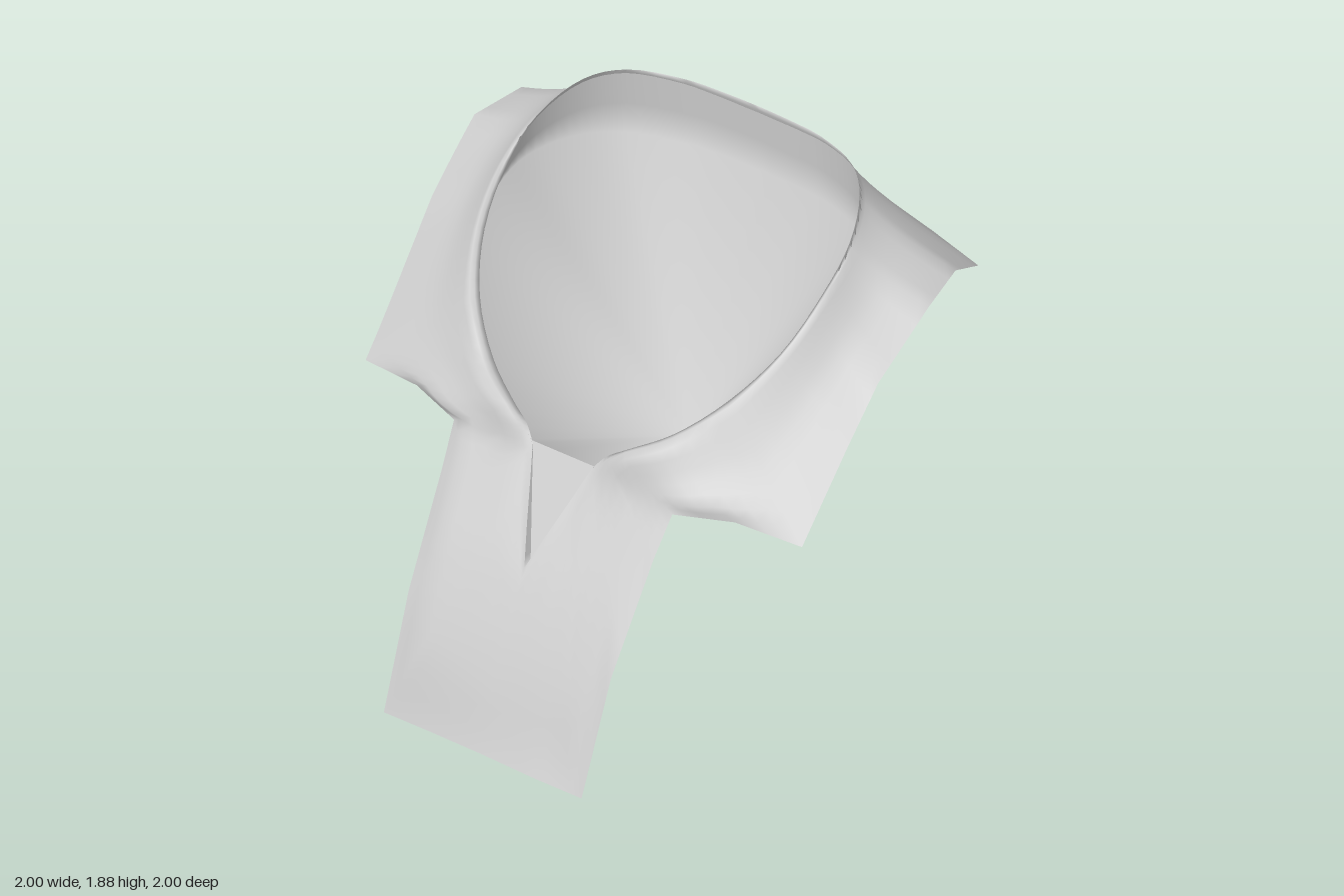
import * as THREE from 'three';
import { mergeVertices } from 'three/addons/utils/BufferGeometryUtils.js';

const V = (a) => new THREE.Vector3(...a);
const { lerp, smoothstep } = THREE.MathUtils;

// Matching points of the neck rim and the outer hem, front centre to back centre
const RIM = [[0, .675, .695], [.05, .81, .61], [.095, .93, .53], [.135, 1.04, .46], [.18, 1.095, .435],
  [.25, 1.14, .41], [.4, 1.225, .33], [.55, 1.36, .2], [.655, 1.51, .02], [.695, 1.67, -.19],
  [.685, 1.78, -.37], [.61, 1.86, -.54], [.5, 1.88, -.65], [.3, 1.865, -.74], [.15, 1.855, -.765], [0, 1.85, -.775]].map(V);
const HEM = [[0, .02, .985], [.25, .02, .995], [.455, .01, .985], [.465, .45, .815], [.485, .85, .575],
  [.5, 1, .48], [.72, 1.01, .4], [.98, .98, .35], [.985, 1.27, .06], [.985, 1.43, -.12],
  [1, 1.6, -.42], [.955, 1.6, -.65], [.88, 1.435, -.9], [.63, 1.44, -.97], [.42, 1.46, -.99], [0, 1.465, -1]].map(V);
const APEX = V([0, .63, -.34]);
const STEPS = 4;

// Depth of the chest cloth at a given height
const CHEST = [[0, .99], [.23, .91], [.42, .83], [.65, .71], [1, .49], [1.1, .46], [1.2, .41], [1.28, .33]];
function chestZ(y) {
  let i = 0;
  while (i < CHEST.length - 2 && y > CHEST[i + 1][0]) i++;
  const [a, b] = [CHEST[i], CHEST[i + 1]];
  return lerp(a[1], b[1], (y - a[0]) / (b[0] - a[0]));
}

// The right half hangs slightly shorter than the left
function flipColumn({ k, rim, hem }) {
  const w = Math.min(k, 1) * (1 - smoothstep(k, 7, 10));
  return {
    k,
    rim: V([-rim.x + .008 * Math.min(k / 3, 1), rim.y, rim.z]),
    hem: V([-hem.x + .025 * w, hem.y - .008 * w, hem.z - .022 * w]),
  };
}

// Closed columns around the neck: one half, then its mirror
function makeColumns() {
  const curve = new THREE.CatmullRomCurve3(RIM.slice(3), false, 'centripetal');
  const half = [];
  for (let s = 0; s <= (RIM.length - 1) * STEPS; s++) {
    const k = s / STEPS;
    const i = Math.min(Math.floor(k), RIM.length - 2);
    const rim = k < 3 ? RIM[i].clone().lerp(RIM[i + 1], k - i) : curve.getPoint((k - 3) / (RIM.length - 4));
    half.push({ k, rim, hem: HEM[i].clone().lerp(HEM[i + 1], k - i) });
  }
  return [...half, ...half.slice(1, -1).reverse().map(flipColumn)];
}

// Loft through rows of points
function loft(rows, closed) {
  const n = rows[0].length;
  const index = [];
  for (let r = 0; r < rows.length - 1; r++) {
    for (let c = 0; c < (closed ? n : n - 1); c++) {
      const a = r * n + c, b = r * n + (c + 1) % n;
      index.push(a, a + n, b, b, a + n, b + n);
    }
  }
  const g = new THREE.BufferGeometry().setFromPoints(rows.flat());
  g.setIndex(index);
  const merged = mergeVertices(g);
  merged.computeVertexNormals();
  return merged;
}

// Rim point pushed outward and down, under the rolled edge
function underRim({ k, rim }, out, down) {
  const w = smoothstep(k, 2.5, 6);
  const dir = V([rim.x, 0, rim.z + .15]).setLength(out * w);
  return rim.clone().add(dir).setY(rim.y - down * w);
}

// Point on the cloth between rim (t = 0) and hem (t = 1)
function clothPoint({ k, rim, hem }, t) {
  const p = rim.clone().lerp(hem, t);
  const shape = Math.min(t * 8, 1) * Math.min((1 - t) * 4, 1);
  const front = 1 - smoothstep(k, 5, 7);
  p.z = lerp(p.z, chestZ(p.y), front * shape);
  // rolled collar edge
  const roll = smoothstep(k, 3, 5.5) * (1 - smoothstep(k, 8.5, 11)) * Math.max(0, Math.min(t / .06, 1 - (t - .06) / .35));
  p.y += .028 * roll;
  p.z += .022 * roll;
  // shoulders and back dip away beneath the collar
  p.y -= .035 * smoothstep(k, 7.5, 10) * Math.sin(Math.PI * Math.pow(t, .6));
  return p;
}

export function createModel() {
  const group = new THREE.Group();
  const cloth = new THREE.MeshStandardMaterial({ color: 0xcccccc, side: THREE.DoubleSide });
  cloth.name = 'light grey cloth';
  const add = (name, geometry) => {
    const mesh = new THREE.Mesh(geometry, cloth);
    mesh.name = name;
    group.add(mesh);
  };
  const columns = makeColumns();
  const lip = columns.map((c) => underRim(c, .012, .025));

  // Mantle: chest panel, shoulders and back in one sheet
  const ts = [0, .03, .06, .12, .22, .34, .48, .62, .76, .88, 1];
  add('mantle', loft([lip, ...ts.map((t) => columns.map((c) => clothPoint(c, t)))], true));

  // Hollow: lining that drops behind the neck and narrows to a point
  const drop = (c) => .28 * smoothstep(-c.rim.z, -.05, .72);
  const wall = [.5, 1].map((t) => columns.map((c) => underRim(c, .012 + .016 * t, .03 + drop(c) * t)));
  add('neckHollow', loft([lip, ...wall, columns.map(() => APEX)], true));

  // Throat tab filling the notch, tucked behind the chest
  const tab = [[.14, 1.045], [.13, .75], [.115, .62], [.06, .605], [.055, .58]];
  const tabZ = (y) => .455 + (1.045 - y) * .54;
  add('throatTab', loft(tab.map(([x, y]) => [-x, 0, x].map((px) => V([px, y, tabZ(y)]))), false));

  return group;
}
